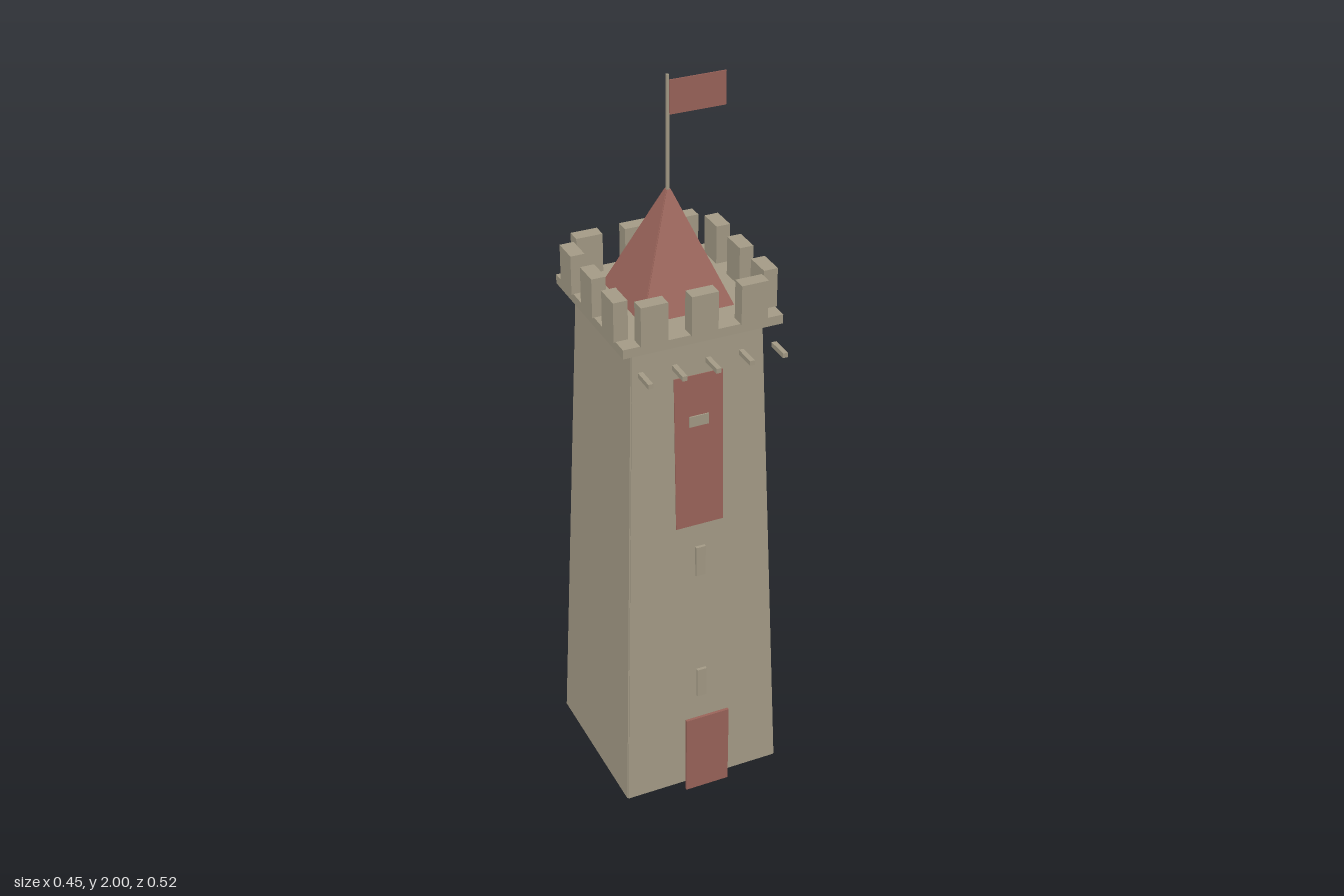
import * as THREE from 'three';

const stone = new THREE.MeshStandardMaterial({ color: 0xa69d88 });
stone.name = 'stone';
const red = new THREE.MeshStandardMaterial({ color: 0x9c655b });
red.name = 'fadedRed';

const CZ = -0.037; // depth of the tower axis

function add(parent, name, geometry, material, x = 0, y = 0, z = 0) {
  const mesh = new THREE.Mesh(geometry, material);
  mesh.name = name;
  mesh.position.set(x, y, z);
  parent.add(mesh);
  return mesh;
}

// Box given by its width, height, depth and centre
function box(parent, name, material, w, h, d, x, y, z) {
  return add(parent, name, new THREE.BoxGeometry(w, h, d), material, x, y, z);
}

// Thin trapezoid that leans inwards from distance r0 at y0 to r1 at y1
function leaningPanel(w0, w1, r0, r1, y0, y1, thick) {
  const length = Math.hypot(y1 - y0, r0 - r1);
  const shape = new THREE.Shape([
    new THREE.Vector2(-w0, 0), new THREE.Vector2(w0, 0),
    new THREE.Vector2(w1, length), new THREE.Vector2(-w1, length),
  ]);
  const geometry = new THREE.ExtrudeGeometry(shape, { depth: thick, bevelEnabled: false });
  geometry.translate(0, 0, -thick);
  geometry.rotateX(-Math.atan2(r0 - r1, y1 - y0));
  geometry.translate(0, y0, r0);
  return geometry;
}

// Four leaning panels with narrow open seams at the corners
function fourSides(parent, name, material, r0, r1, y0, y1, seam) {
  for (let i = 0; i < 4; i++) {
    const geometry = leaningPanel(r0 - seam, r1 - seam, r0, r1, y0, y1, 0.003);
    add(parent, name, geometry, material, 0, 0, CZ).rotation.y = i * Math.PI / 2;
  }
}

export function createModel() {
  const tower = new THREE.Group();
  tower.name = 'tower';

  // Tapering walls, floor and parapet walk
  const R0 = 0.226, R1 = 0.178, H = 1.395;
  const wallAt = (y) => R0 + (R1 - R0) * y / H;
  fourSides(tower, 'wall', stone, R0, R1, 0, H, 0.003);
  box(tower, 'floor', stone, 0.446, 0.004, 0.446, 0, 0.002, CZ);
  box(tower, 'parapetWalk', stone, 0.43, 0.025, 0.43, 0, 1.4025, CZ);

  // Three merlons on each side
  const merlons = new THREE.Group();
  merlons.name = 'merlons';
  merlons.position.z = CZ;
  tower.add(merlons);
  for (let i = 0; i < 4; i++) {
    const side = new THREE.Group();
    side.name = 'merlonRow';
    side.rotation.y = i * Math.PI / 2;
    merlons.add(side);
    for (const x of [-0.134, 0, 0.134]) {
      box(side, 'merlon', stone, 0.072, 0.107, 0.038, x, 1.4675, 0.201);
    }
  }

  // Pyramid roof, flagpole and flag
  fourSides(tower, 'roofSide', red, 0.125, 0.0065, 1.418, 1.705, 0.002);
  box(tower, 'flagpole', stone, 0.007, 0.585, 0.007, 0, 1.7075, CZ);
  box(tower, 'flag', red, 0.15, 0.088, 0.003, 0.08, 1.941, CZ);

  // Front door and the row of beams above the banner
  box(tower, 'door', red, 0.126, 0.245, 0.008, 0, 0.1225, 0.219);
  for (let i = -2; i <= 2; i++) {
    box(tower, 'beam', stone, 0.013, 0.013, 0.062, i * 0.09, 1.351, 0.231);
  }

  // Raised slit frames
  for (const y of [0.332, 0.727]) {
    box(tower, 'slit', stone, 0.027, 0.09, 0.012, 0, y, CZ + wallAt(y) + 0.001);
  }

  // Hanging banner lying along the wall, with a small plate
  const banner = leaningPanel(0.067, 0.067, wallAt(0.84) + 0.002, wallAt(1.28) + 0.002, 0.84, 1.28, 0.008);
  add(tower, 'banner', banner, red, 0, 0, CZ);
  box(tower, 'bannerPlate', stone, 0.054, 0.03, 0.008, 0, 1.15, CZ + wallAt(1.15) + 0.001);

  return tower;
}
